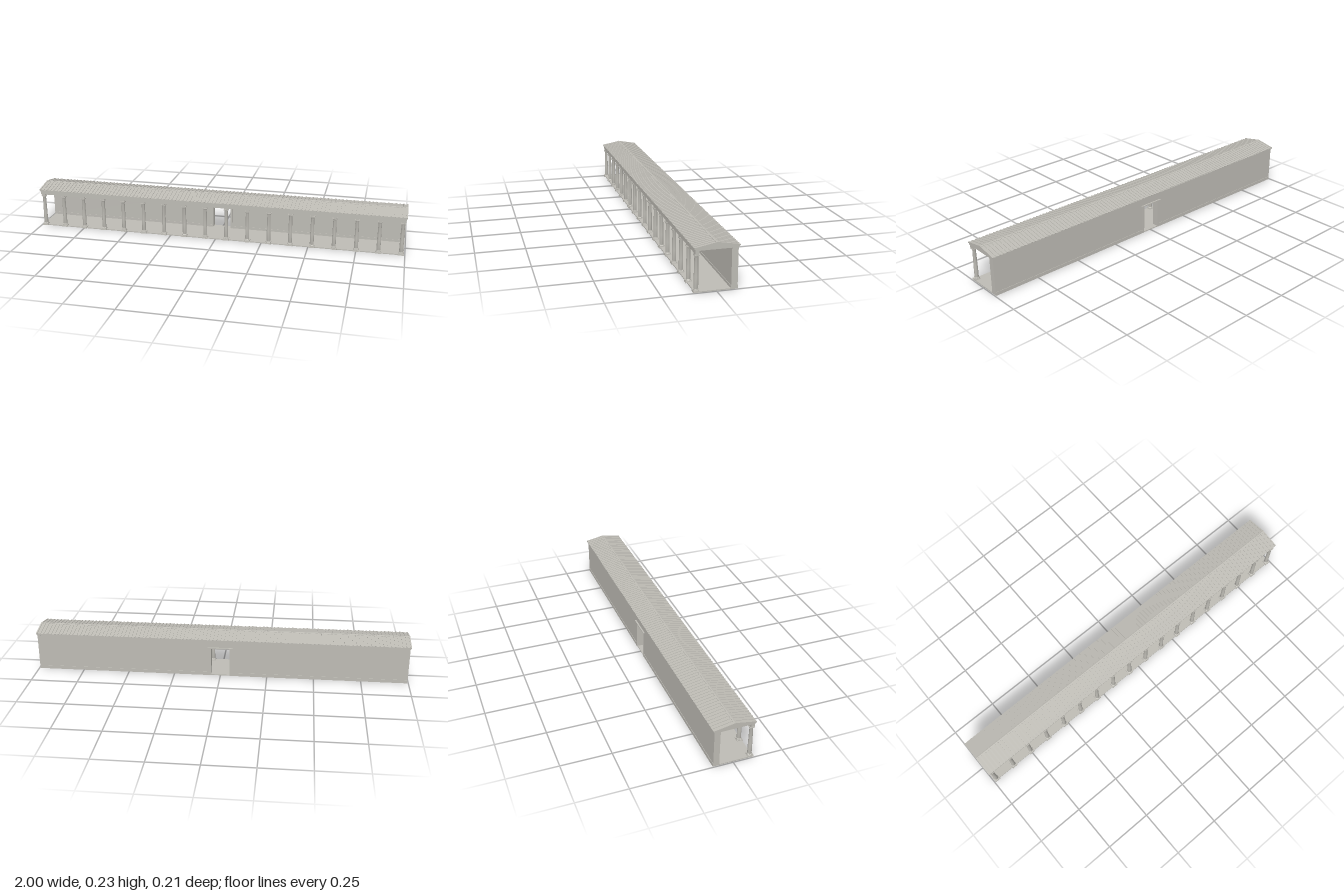
import * as THREE from 'three';
import { mergeGeometries, toCreasedNormals } from 'three/addons/utils/BufferGeometryUtils.js';

export function createModel() {
  const group = new THREE.Group();
  group.name = 'colonnade';
  const stone = new THREE.MeshStandardMaterial({ color: 0xbdbbb4 });
  stone.name = 'pale stone';

  const add = (name, geometry, x = 0, y = 0, z = 0, parent = group) => {
    const mesh = new THREE.Mesh(geometry, stone);
    mesh.name = name;
    mesh.position.set(x, y, z);
    parent.add(mesh);
    return mesh;
  };
  // Box given by its limits on each axis
  const box = (name, x0, x1, y0, y1, z0, z1, parent) =>
    add(name, new THREE.BoxGeometry(x1 - x0, y1 - y0, z1 - z0),
      (x0 + x1) / 2, (y0 + y1) / 2, (z0 + z1) / 2, parent);
  // Outline of [z, y] points swept along x
  const sweep = (points, x0, x1) => {
    const shape = new THREE.Shape(points.map(([z, y]) => new THREE.Vector2(-z, y)));
    return new THREE.ExtrudeGeometry(shape, { depth: x1 - x0, bevelEnabled: false })
      .rotateY(Math.PI / 2).translate(x0, 0, 0);
  };

  // Floor
  box('floor', -0.995, 0.995, 0, 0.005, -0.098, 0.1);

  // Columns with square plinth, turned shaft and flared capital
  const shaft = toCreasedNormals(new THREE.LatheGeometry([
    [0.0145, 0.007], [0.0145, 0.01], [0.0125, 0.012], [0.013, 0.014], [0.0105, 0.016],
    [0.0102, 0.07], [0.0086, 0.163], [0.0098, 0.165], [0.0098, 0.167], [0.0115, 0.171],
  ].map(([r, y]) => new THREE.Vector2(r, y)), 16), 0.6);
  const plinth = new THREE.CylinderGeometry(0.0205, 0.022, 0.008, 4, 1).rotateY(Math.PI / 4).toNonIndexed();
  plinth.computeVertexNormals();
  const count = 18;
  for (let i = 0; i < count; i++) {
    const x = -0.98 + (1.96 * i) / (count - 1);
    const column = new THREE.Group();
    column.name = 'column';
    column.position.set(x, 0, 0.09);
    group.add(column);
    add('plinth', plinth, 0, 0.004, 0, column);
    add('shaft', shaft, 0, 0, 0, column);
    box('abacus', -0.012, 0.012, 0.17, 0.174, -0.012, 0.012, column);
    box('capitalBlock', -0.009, 0.009, 0.174, 0.181, -0.009, 0.009, column);
    // Ceiling beam behind each column
    box('ceilingBeam', x - 0.009, x + 0.009, 0.195, 0.205, -0.07, 0.083);
  }

  // Front beam
  box('architrave', -0.995, 0.995, 0.18, 0.2, 0.081, 0.099);
  box('frontCornice', -0.997, 0.997, 0.2, 0.205, 0.08, 0.103);

  // Rear wall around the doorway
  const door = 0.049, doorTop = 0.155;
  for (const s of [-1, 1]) {
    const a = Math.min(s * door, s * 0.995), b = Math.max(s * door, s * 0.995);
    box('rearWall', a, b, 0, 0.205, -0.098, -0.068);
    box('wallSkirting', a, b, 0, 0.018, -0.1, -0.066);
    // Door jambs standing proud on both faces
    const j0 = Math.min(s * door, s * 0.058), j1 = Math.max(s * door, s * 0.058);
    box('doorJamb', j0, j1, 0, doorTop, -0.101, -0.065);
  }
  box('wallOverDoor', -door, door, doorTop, 0.205, -0.098, -0.068);
  box('doorLintel', -0.058, 0.058, doorTop, 0.159, -0.101, -0.065);
  box('doorCornice', -0.068, 0.068, 0.158, 0.163, -0.106, -0.061);
  box('rearCornice', -0.997, 0.997, 0.2, 0.205, -0.102, -0.066);

  // Gable ends
  for (const x of [-0.997, 0.979]) {
    add('pediment', sweep([[0.1, 0.203], [0, 0.223], [-0.1, 0.203]], x, x + 0.018));
    box('pedimentBase', x, x + 0.018, 0.195, 0.205, -0.1, 0.1);
  }

  // Roof shell
  add('roof', sweep([[0.105, 0.203], [0.105, 0.207], [0, 0.2265], [-0.105, 0.207],
    [-0.105, 0.203], [0, 0.2225]], -0.999, 0.999));

  // Tile ribs down both slopes
  const ribs = [];
  const slope = Math.atan2(0.0195, 0.105), length = Math.hypot(0.0195, 0.105);
  for (let i = 0; i <= 100; i++) {
    const x = -0.9965 + 0.01993 * i;
    for (const s of [-1, 1]) {
      ribs.push(new THREE.BoxGeometry(0.007, 0.004, length)
        .rotateX(s * slope).translate(x, 0.2172, s * 0.0525));
    }
  }
  add('roofRibs', mergeGeometries(ribs));
  add('ridgeCap', sweep([[0.006, 0.2255], [0.006, 0.2275], [0, 0.2295],
    [-0.006, 0.2275], [-0.006, 0.2255]], -1, 1));

  return group;
}
